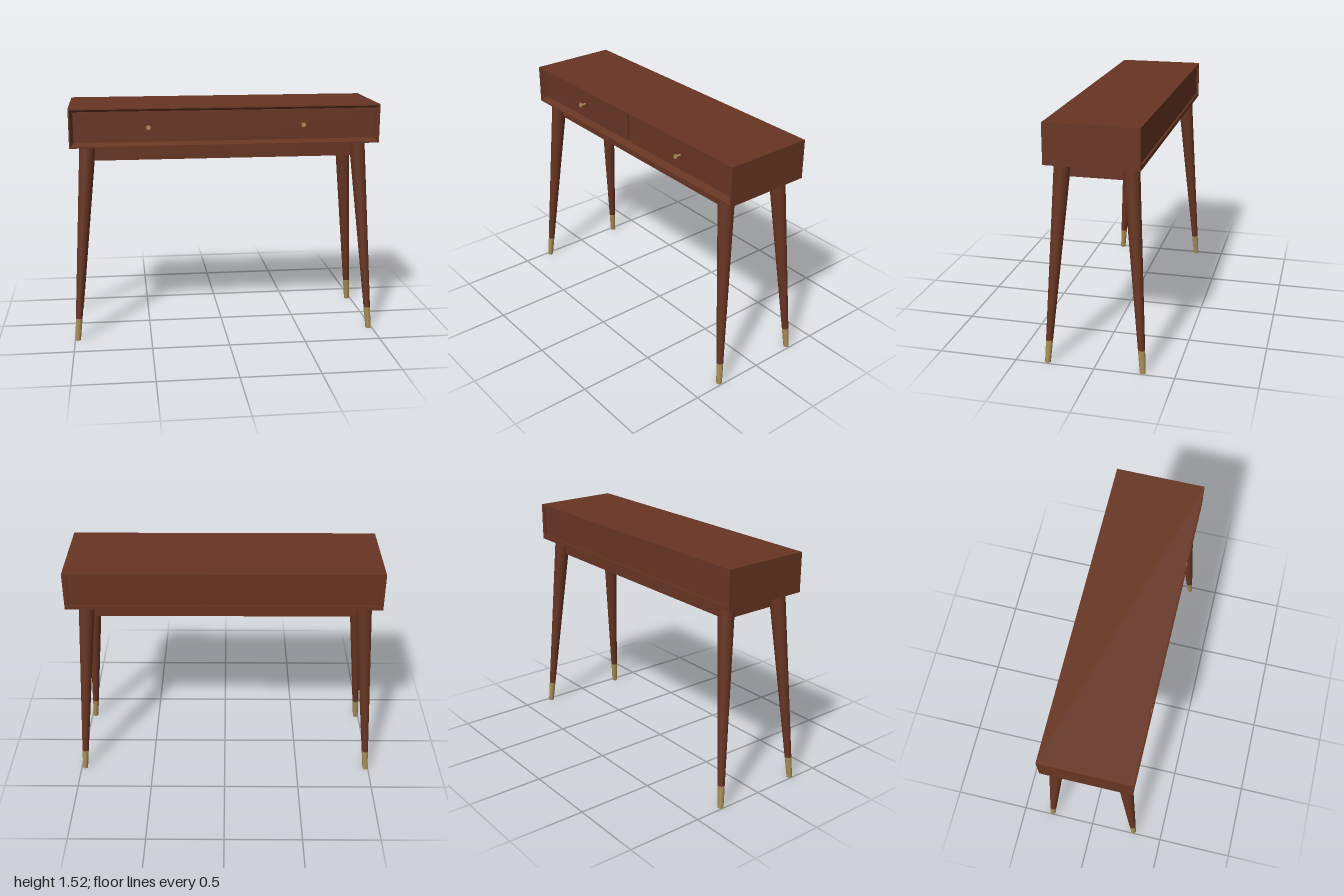
import * as THREE from 'three';

const wood = new THREE.MeshStandardMaterial({ color: 0x673522 });
wood.name = 'walnut';
const brass = new THREE.MeshStandardMaterial({ color: 0xa88d56 });
brass.name = 'brass';

const CASE_X = 0.005, CASE_HX = 0.995, CASE_Y = 1.4, CASE_HY = 0.125, CASE_HZ = 0.287;
const LEG_TOP = 1.276, CAP_TOP = 0.148;

function add(parent, name, geometry, material, x = 0, y = 0, z = 0) {
  const mesh = new THREE.Mesh(geometry, material);
  mesh.name = name;
  mesh.position.set(x, y, z);
  parent.add(mesh);
  return mesh;
}

// Rectangular tube: a closed profile of [inset, z] points swept round four sides
function frameGeometry(hx, hy, profile) {
  const corner = (i, [inset, z]) => {
    const sx = [1, -1, -1, 1][i % 4], sy = [1, 1, -1, -1][i % 4];
    return [sx * (hx - inset), sy * (hy - inset), z];
  };
  const pos = [];
  profile.forEach((p, k) => {
    const q = profile[(k + 1) % profile.length];
    for (let i = 0; i < 4; i++) {
      const a = corner(i, p), b = corner(i + 1, p), c = corner(i + 1, q), d = corner(i, q);
      pos.push(...a, ...c, ...b, ...a, ...d, ...c);
    }
  });
  const g = new THREE.BufferGeometry();
  g.setAttribute('position', new THREE.Float32BufferAttribute(pos, 3));
  g.computeVertexNormals();
  return g;
}

// Splayed, tapering leg section between two heights, with level ends
function legGeometry(y0, y1, sx, sz) {
  const at = (y, a, b) => a + (b - a) * y / LEG_TOP;
  const r = y => at(y, 0.018, 0.051);
  const g = new THREE.CylinderGeometry(r(y1), r(y0), y1 - y0, 28);
  g.translate(0, (y0 + y1) / 2, 0);
  const p = g.attributes.position;
  for (let i = 0; i < p.count; i++) {
    const y = p.getY(i);
    p.setX(i, p.getX(i) + sx * at(y, 0.979, 0.876));
    p.setZ(i, p.getZ(i) + sz * at(y, 0.3, 0.205));
  }
  g.computeVertexNormals();
  return g;
}

export function createModel() {
  const model = new THREE.Group();
  model.name = 'consoleTable';

  // Case with a bevelled front opening and a recessed back
  const body = new THREE.Group();
  body.name = 'case';
  body.position.set(CASE_X, CASE_Y, 0);
  model.add(body);
  add(body, 'caseFrame', frameGeometry(CASE_HX, CASE_HY, [
    [0, CASE_HZ], [0, -CASE_HZ], [0.027, -CASE_HZ],
    [0.027, CASE_HZ - 0.045], [0.009, CASE_HZ],
  ]), wood);
  add(body, 'backPanel', new THREE.BoxGeometry(1.95, 0.2, 0.02), wood, 0, 0, -CASE_HZ + 0.022);
  add(body, 'divider', new THREE.BoxGeometry(0.06, 0.2, 0.4), wood, 0, 0, 0.03);

  // Two drawers with knobs
  for (const s of [-1, 1]) {
    const drawer = new THREE.Group();
    drawer.name = s < 0 ? 'rightDrawer' : 'leftDrawer';
    drawer.position.set(s * 0.497, 0, 0);
    body.add(drawer);
    add(drawer, 'drawerFront', new THREE.BoxGeometry(0.943, 0.194, 0.48), wood, 0, 0, 0.005);
    const stem = add(drawer, 'knobStem', new THREE.CylinderGeometry(0.007, 0.007, 0.032, 16), brass, 0, 0, 0.261);
    const head = add(drawer, 'knobHead', new THREE.CylinderGeometry(0.015, 0.013, 0.01, 20), brass, 0, 0, 0.28);
    stem.rotation.x = head.rotation.x = Math.PI / 2;
  }

  // Apron rails between the legs
  for (const s of [-1, 1]) {
    add(model, s > 0 ? 'frontRail' : 'backRail', new THREE.BoxGeometry(1.75, 0.098, 0.022), wood, 0, 1.229, s * 0.194);
    add(model, s > 0 ? 'leftRail' : 'rightRail', new THREE.BoxGeometry(0.022, 0.098, 0.4), wood, s * 0.869, 1.229, 0);
  }

  // Legs with brass caps
  for (const sx of [-1, 1]) for (const sz of [-1, 1]) {
    const leg = new THREE.Group();
    leg.name = (sz > 0 ? 'front' : 'back') + (sx > 0 ? 'Left' : 'Right') + 'Leg';
    leg.position.x = -0.003;
    add(leg, 'legShaft', legGeometry(CAP_TOP, LEG_TOP, sx, sz), wood);
    add(leg, 'legCap', legGeometry(0, CAP_TOP, sx, sz), brass);
    model.add(leg);
  }
  return model;
}
